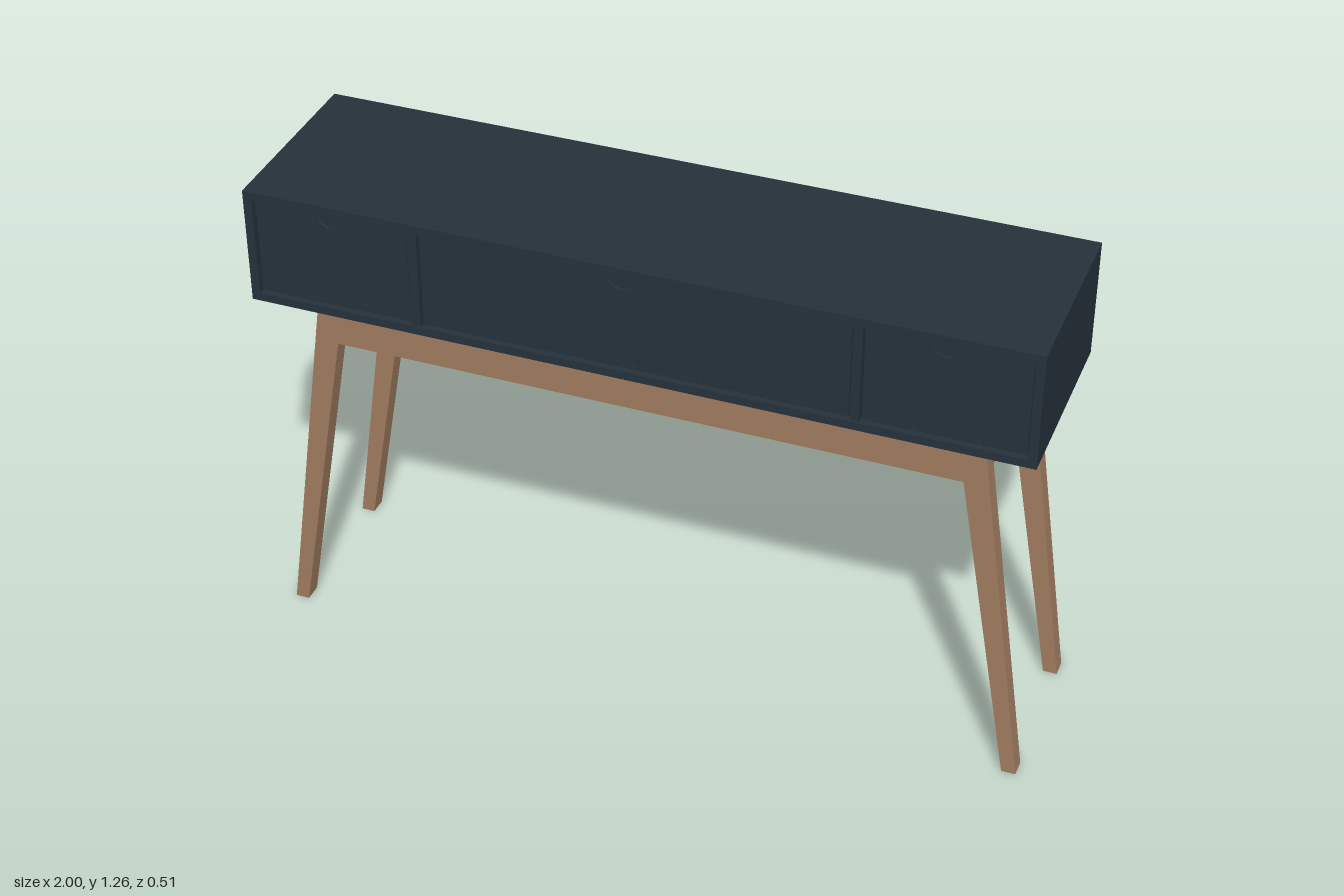
import * as THREE from 'three';

export function createModel() {
  const navy = new THREE.MeshStandardMaterial({ color: 0x25313a });
  navy.name = 'navy paint';
  const wood = new THREE.MeshStandardMaterial({ color: 0x9f7b60 });
  wood.name = 'warm wood';

  const model = new THREE.Group();
  model.name = 'consoleTable';

  function add(name, geometry, material, x = 0, y = 0, z = 0) {
    const mesh = new THREE.Mesh(geometry, material);
    mesh.name = name;
    mesh.position.set(x, y, z);
    model.add(mesh);
    return mesh;
  }
  // box given by its limits on each axis
  function box(name, material, x0, x1, y0, y1, z0, z1) {
    return add(name, new THREE.BoxGeometry(x1 - x0, y1 - y0, z1 - z0), material,
      (x0 + x1) / 2, (y0 + y1) / 2, (z0 + z1) / 2);
  }
  const outline = (pts) => pts.map(([x, y]) => new THREE.Vector2(x, y));
  const extrude = (shape, depth) =>
    new THREE.ExtrudeGeometry(shape, { depth, bevelEnabled: false, curveSegments: 16 });

  // Cabinet shell, open at the front, closed by an overlapping back panel
  const left = -1, right = 0.985, bottom = 0.953, top = 1.263, wall = 0.022;
  const shell = new THREE.Shape(outline([[left, bottom], [right, bottom], [right, top], [left, top]]));
  shell.holes.push(new THREE.Path(outline([
    [left + wall, bottom + wall], [left + wall, top - wall],
    [right - wall, top - wall], [right - wall, bottom + wall]])));
  add('cabinetShell', extrude(shell, 0.503), navy, 0, 0, -0.248);
  box('backPanel', navy, -0.98, 0.968, 0.963, 1.253, -0.254, -0.235);
  box('leftDivider', navy, -0.571, -0.547, bottom + wall, top - wall, -0.235, 0.25);
  box('rightDivider', navy, 0.538, 0.56, bottom + wall, top - wall, -0.235, 0.25);

  // Drawer fronts with a half-round finger notch and slanted grooves
  const y0 = 0.979, y1 = 1.237, lean = 0.157, grooveHalf = 0.003;

  function groove(x0, x1, topX, direction) {
    const edge = 0.008;
    let a = 0, b = 1; // fraction of the height, from the top
    const xAt = (t) => topX + direction * lean * t;
    const cut = [(x0 + edge - topX) / (direction * lean), (x1 - edge - topX) / (direction * lean)];
    a = Math.max(0.02, Math.min(...cut));
    b = Math.min(0.98, Math.max(...cut));
    if (b - a < 0.05) return null;
    const yAt = (t) => y1 - (y1 - y0) * t;
    return new THREE.Path(outline([
      [xAt(a) - grooveHalf, yAt(a)], [xAt(a) + grooveHalf, yAt(a)],
      [xAt(b) + grooveHalf, yAt(b)], [xAt(b) - grooveHalf, yAt(b)]]));
  }

  function drawer(name, x0, x1, notchX, grooves) {
    const face = new THREE.Shape();
    const radius = 0.04;
    face.moveTo(x0, y0);
    face.lineTo(x1, y0);
    face.lineTo(x1, y1);
    face.lineTo(notchX + radius, y1);
    face.absarc(notchX, y1, radius, 0, -Math.PI, true);
    face.lineTo(x0, y1);
    face.closePath();
    for (const [topX, direction] of grooves) {
      const path = groove(x0, x1, topX, direction);
      if (path) face.holes.push(path);
    }
    add(name + 'Front', extrude(face, 0.008), navy, 0, 0, 0.235);
    box(name + 'Body', navy, x0, x1, y0, y1, -0.2, 0.235);
  }

  drawer('rightDrawer', -0.973, -0.576, -0.775, [[-1, 1], [-0.84, 1], [-0.68, 1]]);
  drawer('middleDrawer', -0.542, 0.533, -0.028, [
    [-0.5, 1], [-0.34, 1], [-0.177, 1], [0.153, -1], [0.32, -1], [0.485, -1]]);
  drawer('leftDrawer', 0.565, 0.958, 0.757, [[0.685, -1], [0.845, -1], [1.0, -1]]);

  // Base: front and back frames of splayed tapering legs joined by a long rail
  const midX = 0.012, railBottom = 0.853, thick = 0.047;
  const half = [[0.8475, bottom], [0.985, 0], [0.949, 0], [0.8, railBottom]];
  const frame = new THREE.Shape(outline([
    ...half, ...half.slice().reverse().map(([x, y]) => [-x, y])]));
  for (const [name, z] of [['frontLegFrame', 0.181], ['backLegFrame', -0.222]]) {
    add(name, extrude(frame, thick), wood, midX, 0, z);
  }
  // Short rails between the two frames
  for (const [name, side] of [['leftSideRail', 1], ['rightSideRail', -1]]) {
    const x = midX + side * (0.846 - thick / 2);
    box(name, wood, x - thick / 2, x + thick / 2, railBottom, bottom, -0.175, 0.181);
  }
  return model;
}
